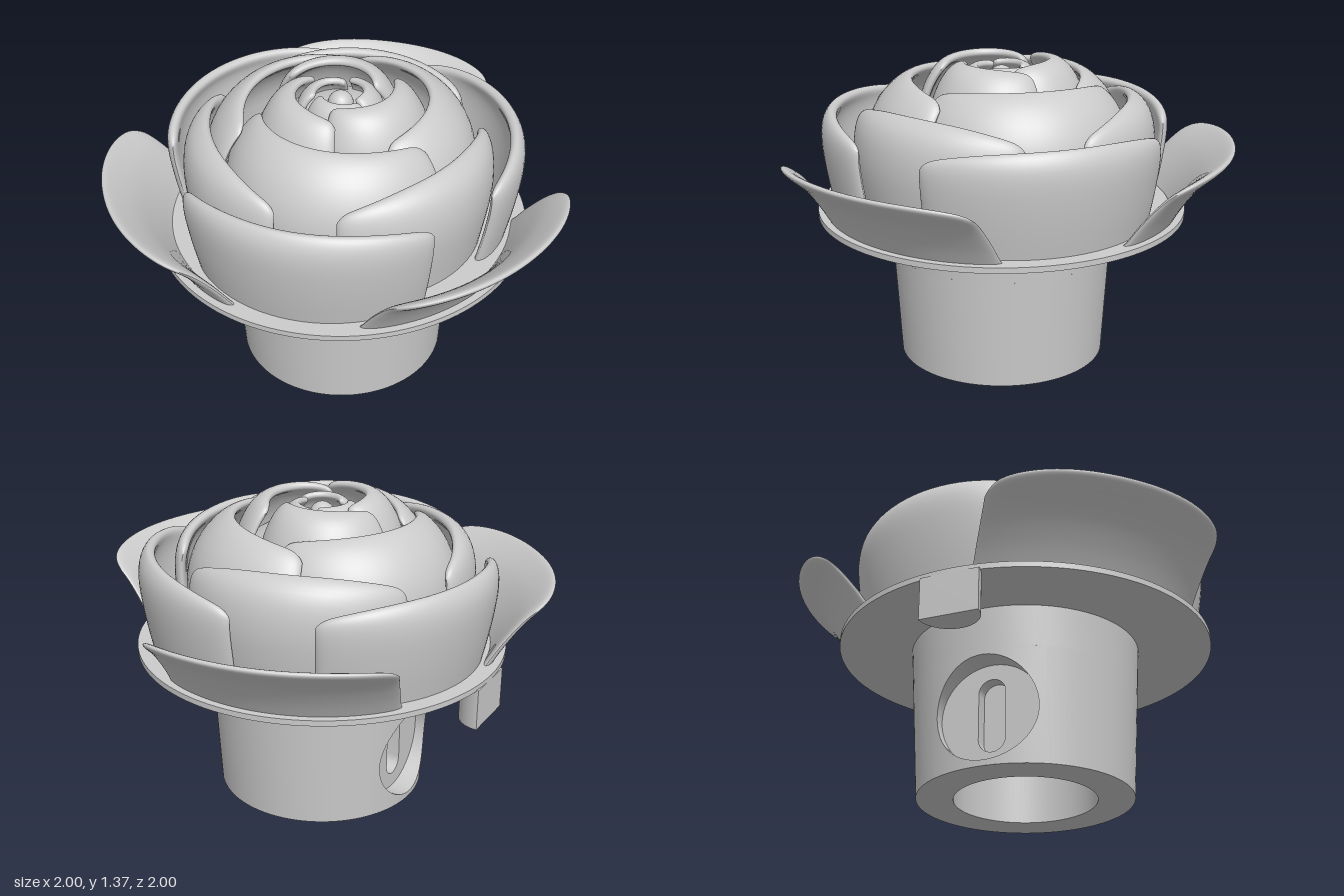
import * as THREE from 'three';
import { toCreasedNormals } from 'three/addons/utils/BufferGeometryUtils.js';

const grey = new THREE.MeshStandardMaterial({ color: 0xcccccc, side: THREE.DoubleSide });
const rad = THREE.MathUtils.degToRad;

function part(name, geometry) {
  const mesh = new THREE.Mesh(geometry, grey);
  mesh.name = name;
  return mesh;
}

// Joins rows of points into a surface; closed joins each row's end to its start
function loft(rows, closed) {
  const n = rows[0].length, index = [];
  for (let k = 0; k < rows.length - 1; k++) {
    for (let i = 0; i < (closed ? n : n - 1); i++) {
      const a = k * n + i, b = k * n + (i + 1) % n;
      index.push(a, b, b + n, a, b + n, a + n);
    }
  }
  const g = new THREE.BufferGeometry();
  g.setAttribute('position', new THREE.Float32BufferAttribute(rows.flat(2), 3));
  g.setIndex(index);
  g.computeVertexNormals();
  return g;
}

function revolve(points, start = 0, length = Math.PI * 2) {
  const pts = points.map(([r, y]) => new THREE.Vector2(r, y));
  return toCreasedNormals(new THREE.LatheGeometry(pts, 96, start, length), rad(35));
}

// A curved shell with rounded rim: profile is [radius, height] from base to rim,
// spiral brings one end closer to the middle than the other
function petalGeometry({ profile, angle, half, thick, drop, power, inward = 0, taper = 0, spiral = 0 }) {
  const curve = new THREE.SplineCurve(profile.map(([r, y]) => new THREE.Vector2(r, y)));
  const rows = [], across = 44, up = 18;
  for (let i = 0; i <= across; i++) {
    const u = Math.sin((i / across - 0.5) * Math.PI);
    // Rim falls gently along the petal, then rounds off at the corners
    const height = 1 - drop * Math.abs(u) ** power - 0.1 * Math.abs(u) ** 24;
    const endCap = Math.sqrt(Math.max(0, 1 - u ** 16));
    const row = [];
    for (let j = 0; j <= 2 * up; j++) {
      const v = Math.sin((up - Math.abs(j - up)) / up * Math.PI / 2);
      const side = j < up ? 1 : -1;
      const s = v * height;
      const p = curve.getPoint(s), t = curve.getTangent(s);
      const off = side * thick / 2 * endCap * Math.sqrt(Math.max(0, 1 - v ** 14));
      const r = p.x - inward * u * u - spiral * u + t.y * off;
      const a = rad(angle + half * u * (1 - taper * s));
      row.push([r * Math.cos(a), p.y - t.x * off, r * Math.sin(a)]);
    }
    rows.push(row);
  }
  return loft(rows, false);
}

// Tapered hollow plug with a round pocket and a blind slot in one side
function createPlug() {
  const plug = new THREE.Group();
  plug.name = 'plug';
  const bore = 0.31, sector = 0.55, mid = 0.25;
  const outer = y => 0.47 + 0.038 * y / 0.68;
  const start = Math.PI * 1.5 + sector, length = Math.PI * 2 - 2 * sector;
  plug.add(part('plugWall', revolve([[outer(0), 0], [outer(0.5), 0.5]], start, length)));
  plug.add(part('plugTopWall', revolve([[outer(0.5), 0.5], [outer(0.68), 0.68]])));
  plug.add(part('plugBore', revolve([[bore, 0.68], [bore, 0], [outer(0), 0]])));

  const ring = fn => Array.from({ length: 96 }, (_, i) => fn(i / 96 * Math.PI * 2));
  const round = f => [0.225 * Math.cos(f), mid + 0.225 * Math.sin(f)];
  const slot = f => [0.06 * Math.cos(f), mid + 0.06 * Math.sin(f) + 0.1 * (Math.sin(f) >= 0 ? 1 : -1)];
  const flat = (shape, x) => ring(f => { const [w, y] = shape(f); return [x, y, w]; });
  // Blend from the pocket edge (t = 0) to the square patch border (t = 1) on the wall
  const onWall = t => ring(f => {
    const [w, y0] = round(f);
    const m = Math.max(Math.abs(Math.cos(f)), Math.abs(Math.sin(f)));
    const y = THREE.MathUtils.lerp(y0, mid + 0.25 * Math.sin(f) / m, t);
    const a = THREE.MathUtils.lerp(Math.asin(w / outer(y0)), sector * Math.cos(f) / m, t);
    return [-outer(y) * Math.cos(a), y, outer(y) * Math.sin(a)];
  });
  const rows = [
    ...[1, 0.75, 0.5, 0.25, 0].map(onWall),
    flat(round, -0.38),
    flat(slot, -0.38),
    flat(slot, -0.32),
    ring(() => [-0.32, mid, 0]),
  ];
  plug.add(part('pocketAndSlot', toCreasedNormals(loft(rows, true), rad(35))));
  return plug;
}

export function createModel() {
  const model = new THREE.Group();
  model.name = 'rosePlug';
  model.position.set(-0.045, 0, 0.045);

  model.add(createPlug());

  // Round base plate
  const plate = part('basePlate', new THREE.CylinderGeometry(0.83, 0.83, 0.025, 128));
  plate.position.y = 0.6925;
  model.add(plate);

  // Half-round locating peg under the plate edge
  const half = new THREE.Shape();
  half.absarc(0, 0, 0.128, -Math.PI / 2, Math.PI / 2, false);
  half.closePath();
  const peg = part('peg', new THREE.ExtrudeGeometry(half, { depth: 0.185, bevelEnabled: false, curveSegments: 32 }));
  peg.rotation.x = -Math.PI / 2;
  peg.position.set(-0.83, 0.5, 0);
  model.add(peg);

  // Rings of three petals, from the spread outer ones to the tight bud
  const rings = [
    { name: 'outerPetal', angle: 15, half: 40, thick: 0.035, drop: 0.16, power: 3, taper: 0.22,
      profile: [[0.775, 0.70], [0.835, 0.80], [0.92, 0.91], [1.035, 1.008]] },
    { name: 'cupPetal', angle: -44, half: 46, thick: 0.055, drop: 0.26, power: 2, inward: 0.05,
      profile: [[0.73, 0.70], [0.76, 0.85], [0.78, 1.0], [0.775, 1.09], [0.745, 1.15]] },
    { name: 'middlePetal', angle: 14, half: 48, thick: 0.055, drop: 0.3, power: 1.8, inward: 0.035,
      profile: [[0.62, 0.70], [0.655, 0.92], [0.655, 1.06], [0.625, 1.15], [0.56, 1.205]] },
    { name: 'domePetal', angle: -41, half: 69, thick: 0.05, drop: 0.22, power: 1.8, inward: 0.08, spiral: 0.045,
      profile: [[0.58, 0.78], [0.575, 1.02], [0.535, 1.15], [0.465, 1.24], [0.385, 1.295]] },
    { name: 'innerPetal', angle: 11, half: 66, thick: 0.045, drop: 0.22, power: 2, inward: 0.06, spiral: 0.05,
      profile: [[0.37, 1.0], [0.35, 1.17], [0.31, 1.27], [0.26, 1.33], [0.20, 1.355]] },
    { name: 'budPetal', angle: -44, half: 58, thick: 0.035, drop: 0.12, power: 2, inward: 0.02, spiral: 0.015,
      profile: [[0.19, 1.1], [0.175, 1.24], [0.145, 1.305], [0.10, 1.335]] },
  ];
  for (const { name, angle, ...shape } of rings) {
    const group = new THREE.Group();
    group.name = name + 's';
    for (let i = 0; i < 3; i++) {
      group.add(part(name, petalGeometry({ ...shape, angle: angle + i * 120 })));
    }
    model.add(group);
  }

  // Solid heart that fills the space beneath the inner petals
  model.add(part('heart', revolve([[0.5, 0.70], [0.48, 1.0], [0.4, 1.11], [0.3, 1.18], [0.2, 1.24], [0.1, 1.28], [0, 1.29]])));
  const bud = part('budTip', new THREE.SphereGeometry(0.055, 32, 20));
  bud.position.y = 1.28;
  model.add(bud);

  return model;
}
